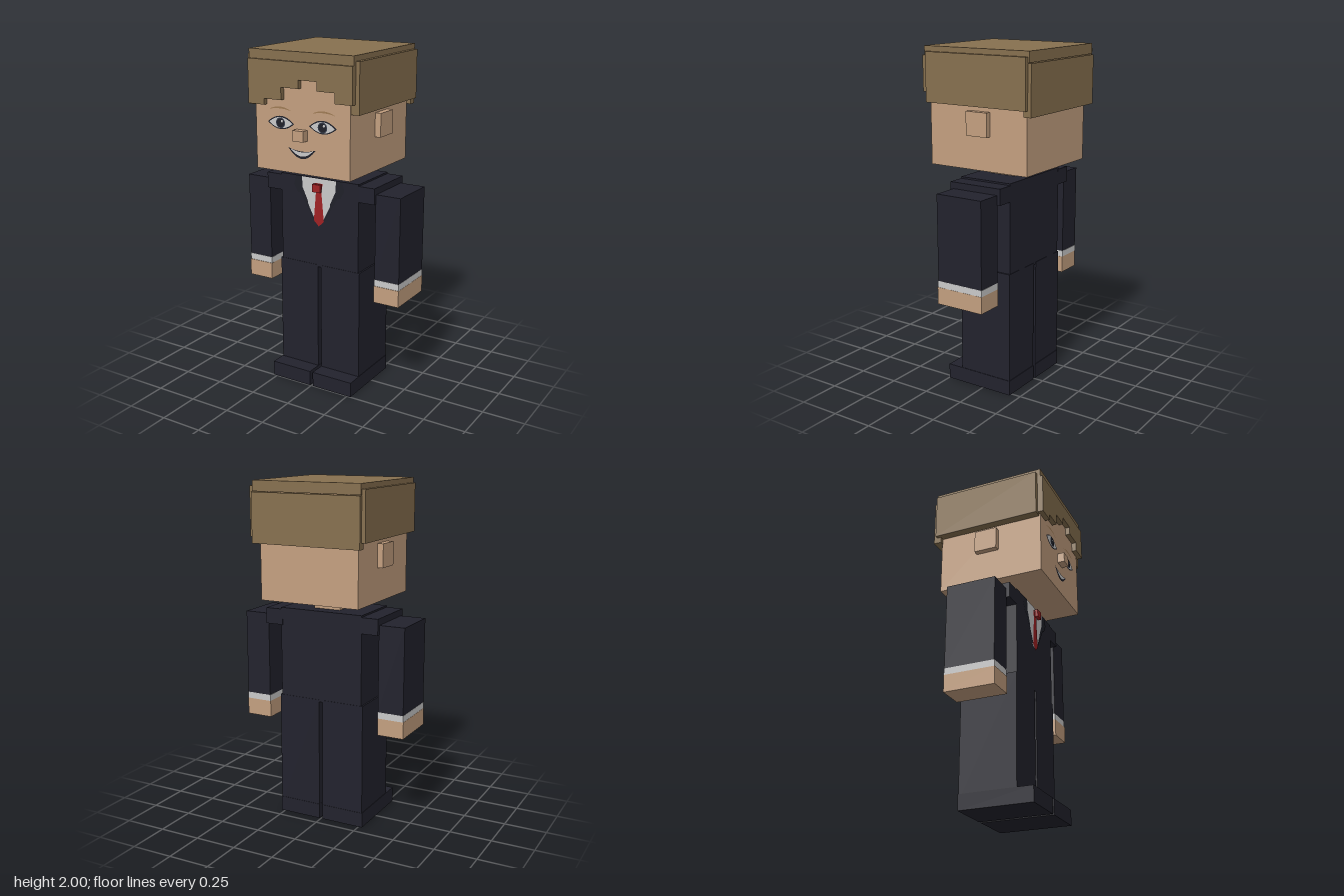
import * as THREE from 'three';

const mat = (name, color) => {
  const m = new THREE.MeshStandardMaterial({ color });
  m.name = name;
  return m;
};

export function createModel() {
  const skin = mat('skin', 0xc4a080);
  const hair = mat('hair', 0x87704f);
  const suit = mat('suit', 0x22222d);
  const white = mat('white', 0xcacaca);
  const red = mat('tie red', 0xa02023);
  const dark = mat('dark', 0x1f2029);
  const brow = mat('brow', 0xa07c55);
  const iris = mat('iris', 0x3a4150);

  const model = new THREE.Group();
  model.name = 'figure';

  // Box given by its limits on each axis
  const box = (name, m, [x0, x1], [y0, y1], [z0, z1]) => {
    const mesh = new THREE.Mesh(new THREE.BoxGeometry(x1 - x0, y1 - y0, z1 - z0), m);
    mesh.position.set((x0 + x1) / 2, (y0 + y1) / 2, (z0 + z1) / 2);
    mesh.name = name;
    model.add(mesh);
  };
  // The same box on both sides of the body
  const pair = (name, m, [x0, x1], y, z) => {
    box('left' + name, m, [x0, x1], y, z);
    box('right' + name, m, [-x1, -x0], y, z);
  };
  // Flat painted detail facing the front
  const plate = (name, m, shape, x, y, z) => {
    const mesh = new THREE.Mesh(new THREE.ShapeGeometry(shape, 16), m);
    mesh.position.set(x, y, z);
    mesh.name = name;
    model.add(mesh);
  };
  const poly = (pts) => new THREE.Shape(pts.map(([x, y]) => new THREE.Vector2(x, y)));
  // Area between two arcs that share their end points
  const lens = (w, top, bottom) => {
    const s = new THREE.Shape();
    s.moveTo(-w, 0);
    s.quadraticCurveTo(0, bottom * 2, w, 0);
    s.quadraticCurveTo(0, top * 2, -w, 0);
    return s;
  };
  const disc = (r) => new THREE.Shape().absarc(0, 0, r, 0, Math.PI * 2);

  // Head
  box('head', skin, [-0.305, 0.305], [1.33, 1.95], [-0.322, 0.322]);
  box('nose', skin, [-0.035, 0.035], [1.52, 1.58], [0.32, 0.364]);
  pair('Ear', skin, [0.3, 0.34], [1.525, 1.66], [-0.085, 0.053]);
  box('neck', skin, [-0.083, 0.083], [1.26, 1.34], [-0.107, 0.073]);

  // Hair: top, sides, back and stepped fringe
  box('hairTop', hair, [-0.333, 0.333], [1.94, 2.0], [-0.352, 0.337]);
  pair('HairSide', hair, [0.3, 0.355], [1.69, 1.97], [-0.343, 0.315]);
  box('hairBack', hair, [-0.333, 0.333], [1.655, 1.937], [-0.364, -0.318]);
  const fringe = new THREE.Mesh(new THREE.ExtrudeGeometry(poly([
    [-0.333, 1.948], [-0.333, 1.7], [-0.228, 1.7], [-0.228, 1.735], [-0.115, 1.735],
    [-0.115, 1.805], [-0.002, 1.805], [-0.002, 1.852], [0.115, 1.852], [0.115, 1.802],
    [0.226, 1.802], [0.226, 1.745], [0.333, 1.745], [0.333, 1.948],
  ]), { depth: 0.034, bevelEnabled: false }), hair);
  fringe.position.z = 0.317;
  fringe.name = 'hairFringe';
  model.add(fringe);

  // Eyes and brows
  const f = 0.324;
  for (const s of [-1, 1]) {
    const side = s > 0 ? 'left' : 'right';
    const x = s * 0.136, y = 1.605;
    plate(side + 'EyeRim', dark, lens(0.087, 0.038, -0.036), x, y, f);
    plate(side + 'EyeWhite', white, lens(0.077, 0.031, -0.03), x, y, f + 0.002);
    plate(side + 'Iris', iris, disc(0.03), x, y, f + 0.004);
    plate(side + 'Pupil', dark, disc(0.025), x, y, f + 0.005);
    plate(side + 'EyeGlint', white, disc(0.007), x + 0.01, y + 0.011, f + 0.006);
    plate(side + 'Brow', brow, lens(0.075, 0.02, 0.01), x + s * 0.005, 1.674, f);
  }

  // Mouth
  plate('mouth', dark, lens(0.09, -0.016, -0.058), 0, 1.475, f);
  plate('teeth', white, lens(0.074, -0.014, -0.038), 0, 1.469, f + 0.002);

  // Jacket and shoulders
  box('torso', suit, [-0.26, 0.26], [0.73, 1.268], [-0.185, 0.15]);
  pair('Shoulder', suit, [0.25, 0.36], [1.165, 1.258], [-0.187, 0.15]);

  // Shirt front, lapels and tie
  plate('shirt', white, poly([
    [-0.115, 1.266], [-0.115, 1.2], [-0.075, 1.11], [-0.03, 1.01], [0, 0.995],
    [0.03, 1.01], [0.075, 1.11], [0.115, 1.2], [0.115, 1.266],
  ]), 0, 0, 0.152);
  for (const s of [-1, 1]) {
    const pts = [[0.115, 1.266], [0.155, 1.266], [0.17, 1.215], [0.145, 1.17], [0.125, 1.165],
      [0.03, 1.005], [0.028, 1.02], [0.075, 1.11], [0.075, 1.125], [0.11, 1.2]];
    plate((s > 0 ? 'left' : 'right') + 'Lapel', dark, poly(pts.map(([x, y]) => [s * x, y])), 0, 0, 0.154);
  }
  plate('tieBlade', red, poly([
    [-0.027, 1.24], [-0.018, 1.19], [-0.034, 1.015], [0, 0.982], [0.034, 1.015], [0.018, 1.19], [0.027, 1.24],
  ]), 0, 0, 0.156);
  box('tieKnot', red, [-0.026, 0.026], [1.192, 1.238], [0.165, 0.184]);

  // Arms
  pair('Sleeve', suit, [0.357, 0.512], [0.715, 1.22], [-0.166, 0.13]);
  pair('Cuff', white, [0.356, 0.513], [0.68, 0.718], [-0.167, 0.132]);
  pair('Hand', skin, [0.355, 0.514], [0.58, 0.68], [-0.166, 0.135]);

  // Legs and shoes
  pair('Leg', suit, [0.011, 0.27], [0.05, 0.743], [-0.187, 0.152]);
  pair('Shoe', suit, [0.01, 0.273], [0, 0.09], [-0.189, 0.248]);

  return model;
}
